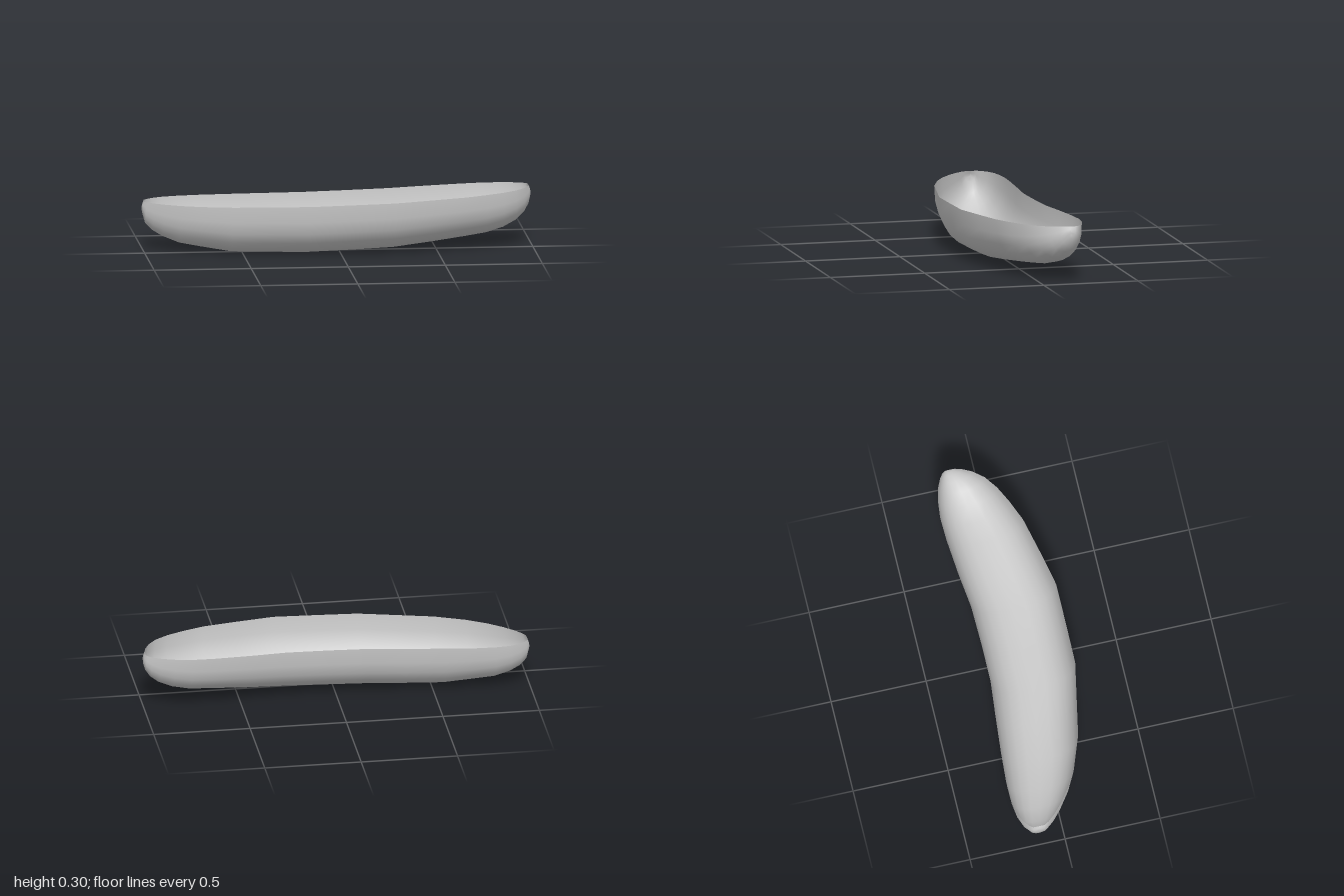
import * as THREE from 'three';

// Cross-section stations along the dish: x, back rim z, front rim z, lowest y
const STATIONS = [
  [-1.0, -0.135, -0.135, 0.21], [-1.0, -0.165, -0.105, 0.19], [-0.985, -0.185, -0.08, 0.135],
  [-0.95, -0.212, -0.04, 0.10], [-0.9, -0.232, 0.005, 0.07], [-0.82, -0.243, 0.062, 0.04],
  [-0.72, -0.245, 0.115, 0.025], [-0.56, -0.235, 0.172, 0.002], [-0.36, -0.218, 0.21, 0.001],
  [-0.17, -0.2, 0.246, 0.002], [0.05, -0.2, 0.247, 0.01], [0.27, -0.206, 0.246, 0.02],
  [0.46, -0.23, 0.205, 0.038], [0.65, -0.248, 0.16, 0.059], [0.76, -0.252, 0.115, 0.071],
  [0.85, -0.243, 0.07, 0.094], [0.92, -0.225, 0.02, 0.127], [0.965, -0.205, -0.035, 0.165],
  [0.99, -0.187, -0.085, 0.205], [1.0, -0.17, -0.12, 0.24], [1.0, -0.145, -0.145, 0.255],
];
const SEGMENTS = 12;
const ROUNDNESS = 2 / 2.35; // slightly squarer than an ellipse

function shellGeometry() {
  const positions = [], indices = [];
  for (const [x, back, front, low] of STATIONS) {
    const rim = 0.274 + 0.025 * x; // the rim slopes gently up towards +x
    for (let j = 0; j <= SEGMENTS; j++) {
      const a = (Math.PI * j) / SEGMENTS;
      const c = Math.cos(a), s = Math.max(0, Math.sin(a));
      const across = Math.sign(c) * Math.abs(c) ** ROUNDNESS;
      const down = s ** ROUNDNESS;
      positions.push(
        x * (1 - 0.01 * (1 - Math.min(1, down * 2))), // rim tucks in at the ends
        rim - (rim - low) * down,
        (front + back) / 2 + ((front - back) / 2) * across,
      );
    }
  }
  const row = SEGMENTS + 1;
  for (let i = 0; i < STATIONS.length - 1; i++) {
    for (let j = 0; j < SEGMENTS; j++) {
      const a = i * row + j, b = a + row;
      indices.push(a, a + 1, b, b, a + 1, b + 1);
    }
  }
  const geometry = new THREE.BufferGeometry();
  geometry.setAttribute('position', new THREE.Float32BufferAttribute(positions, 3));
  geometry.setIndex(indices);
  geometry.computeVertexNormals();
  return geometry;
}

export function createModel() {
  const group = new THREE.Group();
  group.name = 'curvedDish';
  // Thin open shell, visible inside and out
  const shell = new THREE.Mesh(
    shellGeometry(),
    new THREE.MeshStandardMaterial({ color: 0xcccccc, side: THREE.DoubleSide }),
  );
  shell.name = 'dishShell';
  group.add(shell);
  return group;
}
